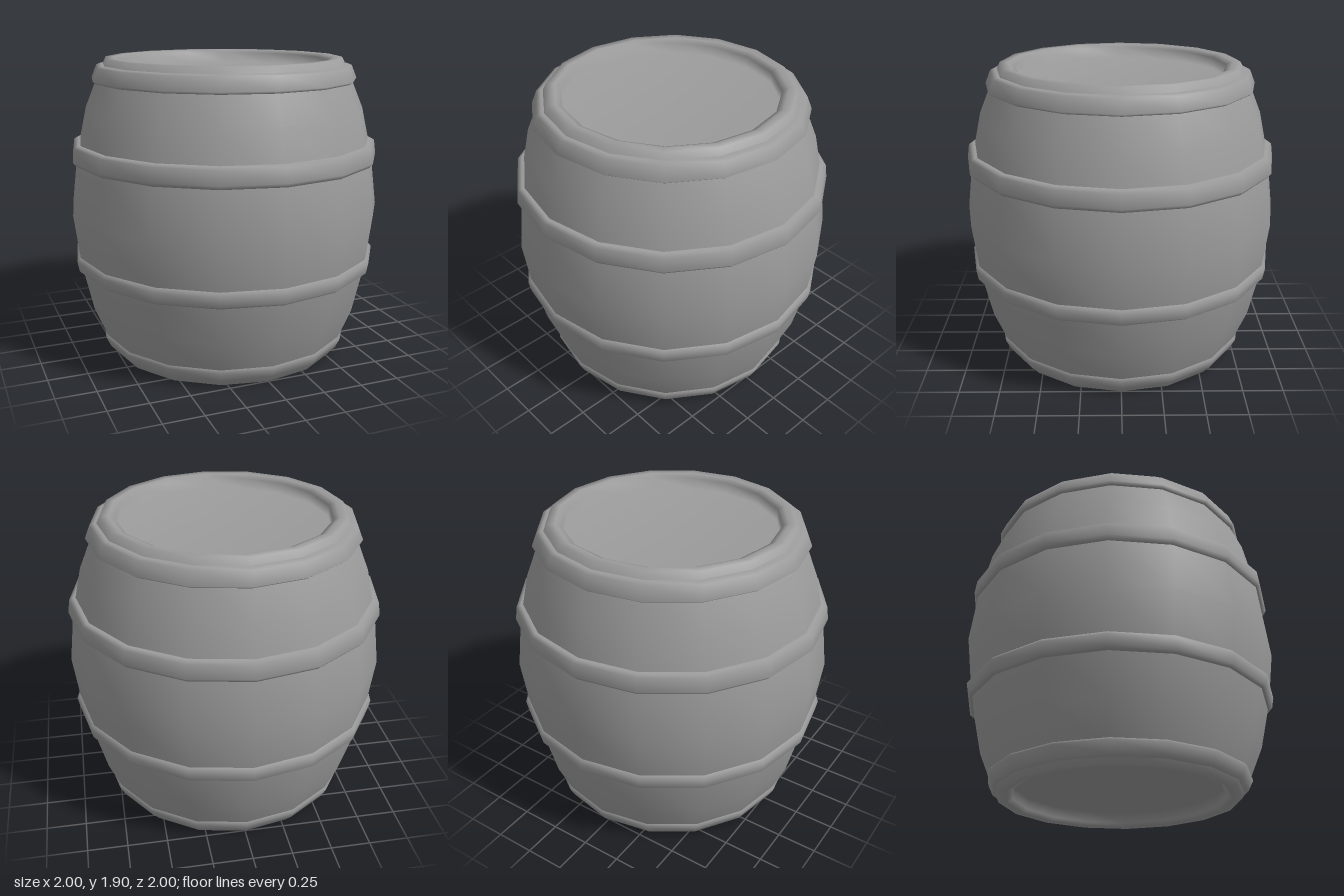
import * as THREE from 'three';

const SIDES = 16;

// Revolve [radius, y] pairs about the vertical axis
function lathe(name, profile, material) {
  const points = profile.map(([r, y]) => new THREE.Vector2(r, y));
  const mesh = new THREE.Mesh(new THREE.LatheGeometry(points, SIDES), material);
  mesh.name = name;
  return mesh;
}

export function createModel() {
  const group = new THREE.Group();
  group.name = 'barrel';
  const material = new THREE.MeshStandardMaterial({ color: 0x9c9c9c, side: THREE.DoubleSide });

  // Lower half of the body: recessed end, rounded rim, then the bulging outside
  const height = 1.9;
  const lower = [
    [0, 0.09], [0.66, 0.09], [0.66, 0.02], [0.7, 0],
    [0.75, 0], [0.79, 0.08], [0.89, 0.32], [0.96, 0.63],
  ];
  const upper = lower.map(([r, y]) => [r, height - y]).reverse();
  group.add(lathe('body', [...lower, [1, height / 2], ...upper], material));

  // Hoops: rounded bands that follow the bulge
  const hoops = {
    bottomHoop: [[0.76, 0.03], [0.79, 0.045], [0.822, 0.11], [0.8, 0.135]],
    lowerHoop: [[0.955, 0.57], [0.975, 0.585], [0.987, 0.65], [0.96, 0.68]],
    upperHoop: [[0.965, 1.26], [0.987, 1.285], [0.975, 1.37], [0.95, 1.385]],
    topHoop: [[0.825, 1.755], [0.845, 1.77], [0.812, 1.85], [0.785, 1.86]],
  };
  for (const [name, outer] of Object.entries(hoops)) {
    // Close the band inside the staves
    const [first, last] = [outer[0], outer[outer.length - 1]];
    const profile = [[first[0] - 0.04, first[1]], ...outer, [last[0] - 0.04, last[1]]];
    group.add(lathe(name, profile, material));
  }
  return group;
}
